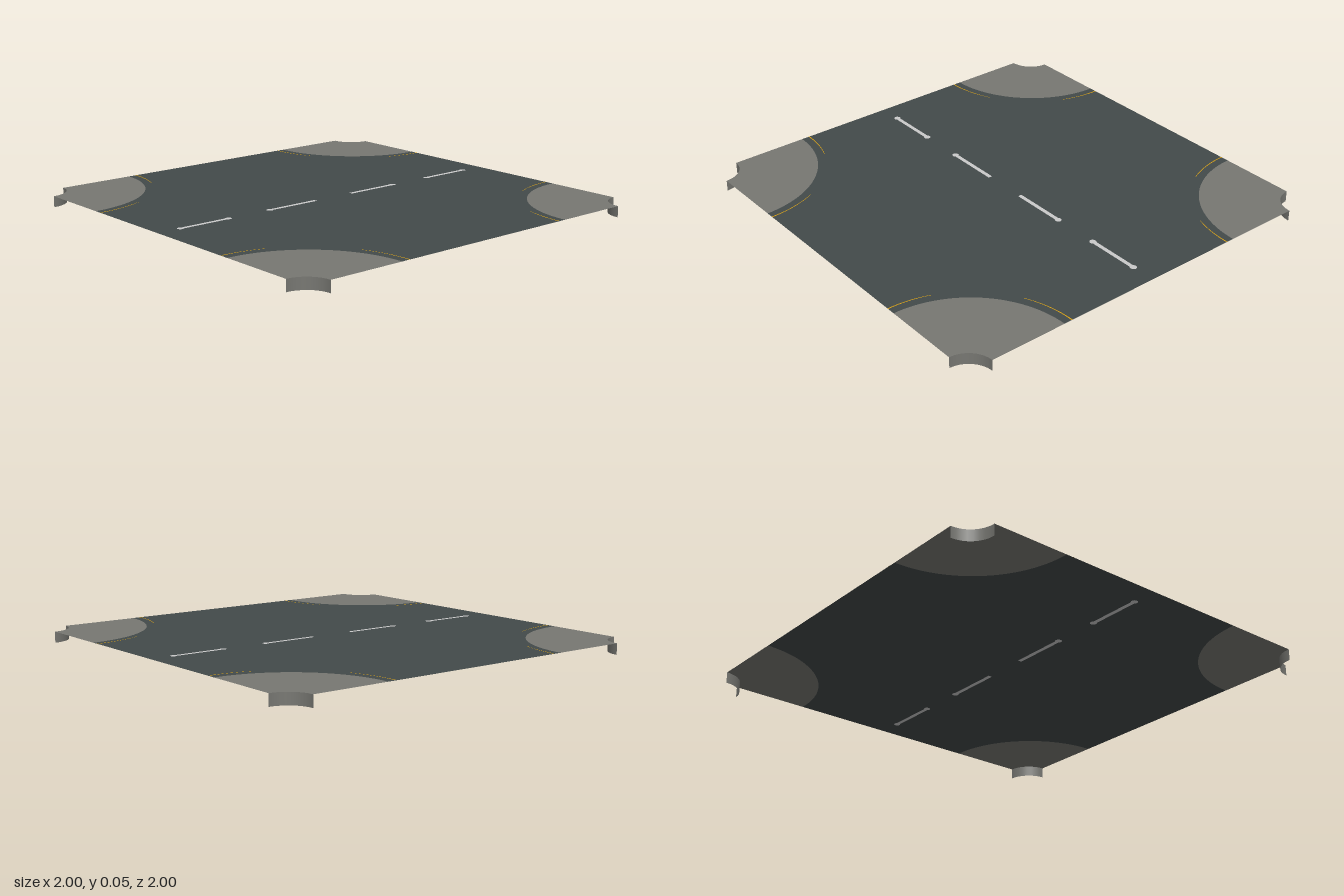
import * as THREE from 'three';

const TOP = 0.054;      // height of the road surface
const CUT = 0.122;      // radius of the notch at each corner
const KERB = 0.5;       // radius of each pavement corner
const LINE = 0.54;      // radius of the yellow edge line

const material = (name, color) =>
  new THREE.MeshStandardMaterial({ name, color, side: THREE.DoubleSide });

// Lay a shape drawn in plan flat at a given height
function flat(name, shape, mat, y = TOP, segments = 32) {
  const geometry = new THREE.ShapeGeometry(shape, segments).rotateX(-Math.PI / 2);
  const mesh = new THREE.Mesh(geometry, mat);
  mesh.name = name;
  mesh.position.y = y;
  return mesh;
}

// Points on a circle about the origin
function arc(radius, from, to, count) {
  return Array.from({ length: count + 1 }, (_, i) => {
    const a = from + (to - from) * i / count;
    return new THREE.Vector2(radius * Math.cos(a), radius * Math.sin(a));
  });
}

// Outline of a lane dash, widening to a round blob at the chosen ends
function dashPoints(a, b, blobA, blobB) {
  const w = 0.01, r = 0.016, k = Math.asin(w / r);
  const cap = (y, from, to) =>
    arc(r, from, to, 12).map((p) => p.add(new THREE.Vector2(0, y)));
  const low = blobA ? cap(a, -Math.PI * 1.5 + k, Math.PI / 2 - k)
    : [new THREE.Vector2(-w, a), new THREE.Vector2(w, a)];
  const high = blobB ? cap(b, -Math.PI / 2 + k, Math.PI * 1.5 - k)
    : [new THREE.Vector2(w, b), new THREE.Vector2(-w, b)];
  return [...low, ...high];
}

export function createModel() {
  const model = new THREE.Group();
  model.name = 'roadCrossing';
  const asphalt = material('asphalt', 0x434a4a);
  const concrete = material('concrete', 0x777772);
  const white = material('whitePaint', 0xcacaca);
  const yellow = material('yellowPaint', 0xd9a011);

  // Road outline with a concave quarter circle at each corner
  const outline = [];
  for (let i = 0; i < 4; i++) {
    const turn = i * Math.PI / 2;
    const corner = new THREE.Vector2(1, 1).rotateAround(new THREE.Vector2(), turn);
    // Each arc runs clockwise round its own corner
    outline.push(...arc(KERB, -Math.PI / 2 + turn, -Math.PI + turn, 32)
      .map((p) => p.add(corner)));
  }
  const roadShape = new THREE.Shape(outline);

  // Lane dashes, cut through the road so they show from both sides
  const dashes = [
    dashPoints(0.62, 0.88, true, true),
    dashPoints(0.11, 0.385, false, true),
    dashPoints(-0.385, -0.11, true, false),
    dashPoints(-0.88, -0.62, true, true),
  ];
  for (const points of dashes) {
    roadShape.holes.push(new THREE.Path(points));
    model.add(flat('laneDash', new THREE.Shape(points), white));
  }
  model.add(flat('road', roadShape, asphalt));

  // Pavement corners, each with a curved wall and two yellow edge lines
  for (let i = 0; i < 4; i++) {
    const corner = new THREE.Group();
    corner.name = 'pavementCorner';
    const origin = new THREE.Vector2(-1, -1)
      .rotateAround(new THREE.Vector2(), i * Math.PI / 2);
    corner.position.set(origin.x, 0, -origin.y);
    corner.rotation.y = i * Math.PI / 2;

    const paving = new THREE.Shape([
      ...arc(KERB, 0, Math.PI / 2, 32),
      ...arc(CUT, Math.PI / 2, 0, 8),
    ]);
    corner.add(flat('pavement', paving, concrete));

    const wall = new THREE.Mesh(
      new THREE.CylinderGeometry(CUT, CUT, TOP, 8, 1, true, Math.PI / 2, Math.PI / 2),
      concrete);
    wall.name = 'cornerWall';
    wall.position.y = TOP / 2;
    corner.add(wall);

    // Edge lines taper away towards the middle of the bend
    for (const [from, to] of [[0, 0.46], [Math.PI / 2, Math.PI / 2 - 0.38]]) {
      const inner = arc(LINE - 0.003, from, to, 12);
      const outer = arc(LINE + 0.003, from, to, 12);
      inner.forEach((p, j) => p.lerp(outer[j], 0.6 * j / 12));
      const line = new THREE.Shape([...outer, ...inner.reverse()]);
      corner.add(flat('edgeLine', line, yellow, TOP + 0.001));
    }
    model.add(corner);
  }
  return model;
}
